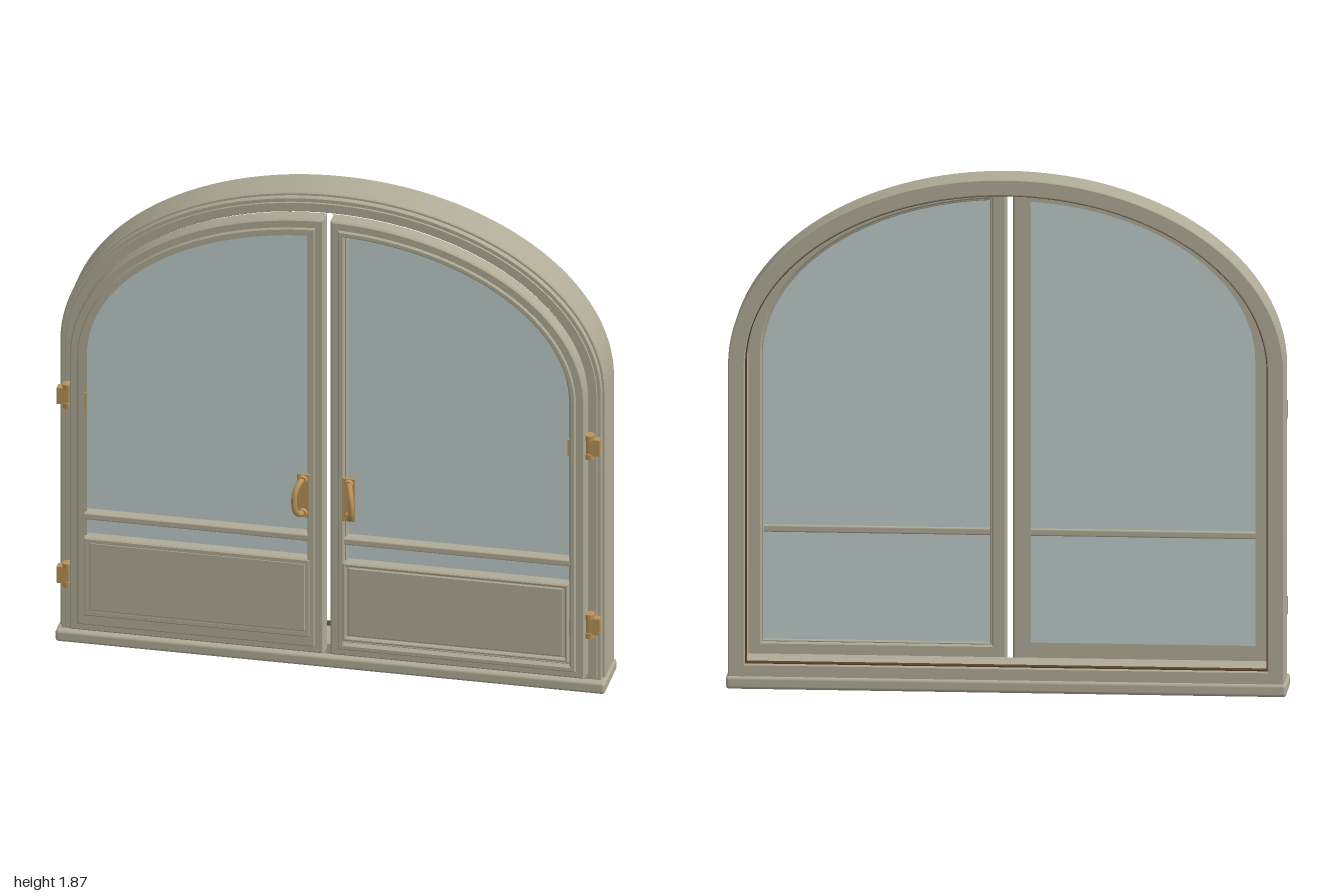
import * as THREE from 'three';
import { toCreasedNormals } from 'three/addons/utils/BufferGeometryUtils.js';
import { RoundedBoxGeometry } from 'three/addons/geometries/RoundedBoxGeometry.js';

const SPRING = 1.18; // height where the arch starts

function paint(name, color) {
  const m = new THREE.MeshStandardMaterial({ color });
  m.name = name;
  return m;
}

// Arched outline of the fixed frame, inset by d
function frameOutline(d) {
  const rx = 0.992 - d, ry = 0.69 - d, pts = [[-rx, 0.03 + d], [rx, 0.03 + d]];
  for (let i = 0; i <= 64; i++) {
    const a = Math.PI * i / 64;
    pts.push([rx * Math.cos(a), SPRING + ry * Math.sin(a)]);
  }
  return pts;
}

// Half-arch outline of one door leaf, inset by d; s is the side (+1 or -1)
function leafOutline(d, s) {
  const x0 = 0.012 + d, rx = 0.937 - d, ry = 0.632 - d;
  const end = Math.acos(x0 / rx), pts = [[s * x0, 0.08 + d], [s * rx, 0.08 + d]];
  for (let i = 0; i <= 32; i++) {
    const a = end * i / 32;
    pts.push([s * rx * Math.cos(a), SPRING + ry * Math.sin(a)]);
  }
  return pts;
}

function rectOutline(x0, x1, y0, y1) {
  return [[x0, y0], [x1, y0], [x1, y1], [x0, y1]];
}

// Slab or ring between two depths with a small bevel
function slab(outer, hole, z0, z1, b = 0) {
  const vec = (p) => p.map(([x, y]) => new THREE.Vector2(x, y));
  const shape = new THREE.Shape(vec(outer));
  if (hole) shape.holes.push(new THREE.Path(vec(hole)));
  const geo = new THREE.ExtrudeGeometry(shape, {
    depth: z1 - z0 - 2 * b, bevelEnabled: b > 0, bevelSize: b,
    bevelThickness: b, bevelOffset: -b, bevelSegments: 1,
  });
  geo.translate(0, 0, z0 + b);
  return toCreasedNormals(geo, 0.5);
}

export function createModel() {
  const model = new THREE.Group();
  model.name = 'archedDoubleDoor';
  const taupe = paint('taupe paint', 0xb0ab97);
  const glass = paint('pale glass', 0xbfcdca);
  const brass = paint('brass', 0xb8935a);
  const brown = paint('brown seal', 0x5a4028);

  const add = (parent, name, geo, mat, x = 0, y = 0, z = 0) => {
    const mesh = new THREE.Mesh(geo, mat);
    mesh.name = name;
    mesh.position.set(x, y, z);
    parent.add(mesh);
    return mesh;
  };

  // Fixed frame: main ring, two stepped front lips, seal and sill
  const inner = frameOutline(0.06);
  add(model, 'frame', slab(frameOutline(0), inner, -0.162, -0.012, 0.004), taupe);
  add(model, 'frameLip', slab(frameOutline(0.01), inner, -0.012, 0.012, 0.002), taupe);
  add(model, 'frameBead', slab(frameOutline(0.024), inner, 0.012, 0.02, 0.002), taupe);
  add(model, 'seal', slab(frameOutline(0.058), frameOutline(0.064), -0.148, -0.118), brown);
  add(model, 'sill', new RoundedBoxGeometry(2, 0.046, 0.21, 3, 0.012), taupe, 0, 0.023, -0.067);

  for (const s of [1, -1]) {
    const leaf = new THREE.Group();
    leaf.name = s > 0 ? 'leftDoor' : 'rightDoor';
    model.add(leaf);

    // Leaf surround with raised trim and glazing bead
    const opening = leafOutline(0.052, s);
    add(leaf, 'leafFrame', slab(leafOutline(0, s), opening, 0.02, 0.085, 0.006), taupe);
    add(leaf, 'leafTrim', slab(leafOutline(0.03, s), opening, 0.085, 0.099, 0.005), taupe);
    add(leaf, 'glazingBead', slab(leafOutline(0.05, s), leafOutline(0.059, s), 0.032, 0.078, 0.003), taupe);
    add(leaf, 'glass', slab(leafOutline(0.051, s), null, 0.046, 0.054), glass);

    // Crossbar and lower front panel
    add(leaf, 'crossbar', new RoundedBoxGeometry(0.83, 0.026, 0.06, 2, 0.006), taupe, s * 0.473, 0.542, 0.065);
    const panel = (d) => rectOutline(s * (0.058 + d), s * (0.882 - d), 0.148 + d, 0.46 - d);
    add(leaf, 'panelBorder', slab(panel(0), panel(0.014), 0.055, 0.102, 0.005), taupe);
    add(leaf, 'panelField', slab(panel(0.013), null, 0.055, 0.088), taupe);
    add(leaf, 'panelRaised', slab(panel(0.02), null, 0.088, 0.097, 0.004), taupe);

    // Hinges
    for (const y of [0.285, 1.0]) {
      const hinge = new THREE.Group();
      hinge.name = 'hinge';
      hinge.position.set(0, y, 0);
      leaf.add(hinge);
      add(hinge, 'hingeLeaf', new THREE.BoxGeometry(0.04, 0.064, 0.03), brass, s * 0.968, 0, 0.055);
      add(hinge, 'hingeBarrel', new THREE.CylinderGeometry(0.013, 0.013, 0.092, 16), brass, s * 0.948, 0, 0.056);
      for (const e of [-1, 1]) {
        add(hinge, 'hingeCap', new THREE.CylinderGeometry(0.019, 0.019, 0.02, 16), brass, s * 0.95, e * 0.037, 0.056);
      }
      add(hinge, 'hingeInnerPlate', new THREE.BoxGeometry(0.016, 0.066, 0.03), brass, s * 0.884, 0, 0.074);
    }

    // Pull handle: back plate, mounts and a bowed grip leaning outward
    const handle = new THREE.Group();
    handle.name = 'handle';
    handle.position.set(s * 0.083, 0.715, 0.1);
    leaf.add(handle);
    add(handle, 'handlePlate', new RoundedBoxGeometry(0.046, 0.172, 0.01, 2, 0.003), brass, 0, 0, 0);
    const bow = [[0, -0.066, 0], [0.009, -0.06, 0.032], [0.018, -0.036, 0.055], [0.021, 0, 0.061],
      [0.018, 0.036, 0.055], [0.009, 0.06, 0.032], [0, 0.066, 0]];
    const curve = new THREE.CatmullRomCurve3(bow.map(([x, y, z]) => new THREE.Vector3(s * x, y, z)));
    add(handle, 'handleGrip', new THREE.TubeGeometry(curve, 32, 0.0105, 10), brass);
    for (const e of [-1, 1]) {
      const mount = add(handle, 'handleMount', new THREE.CylinderGeometry(0.014, 0.018, 0.014, 16), brass, 0, e * 0.066, 0.009);
      mount.rotation.x = Math.PI / 2;
    }
  }
  return model;
}
